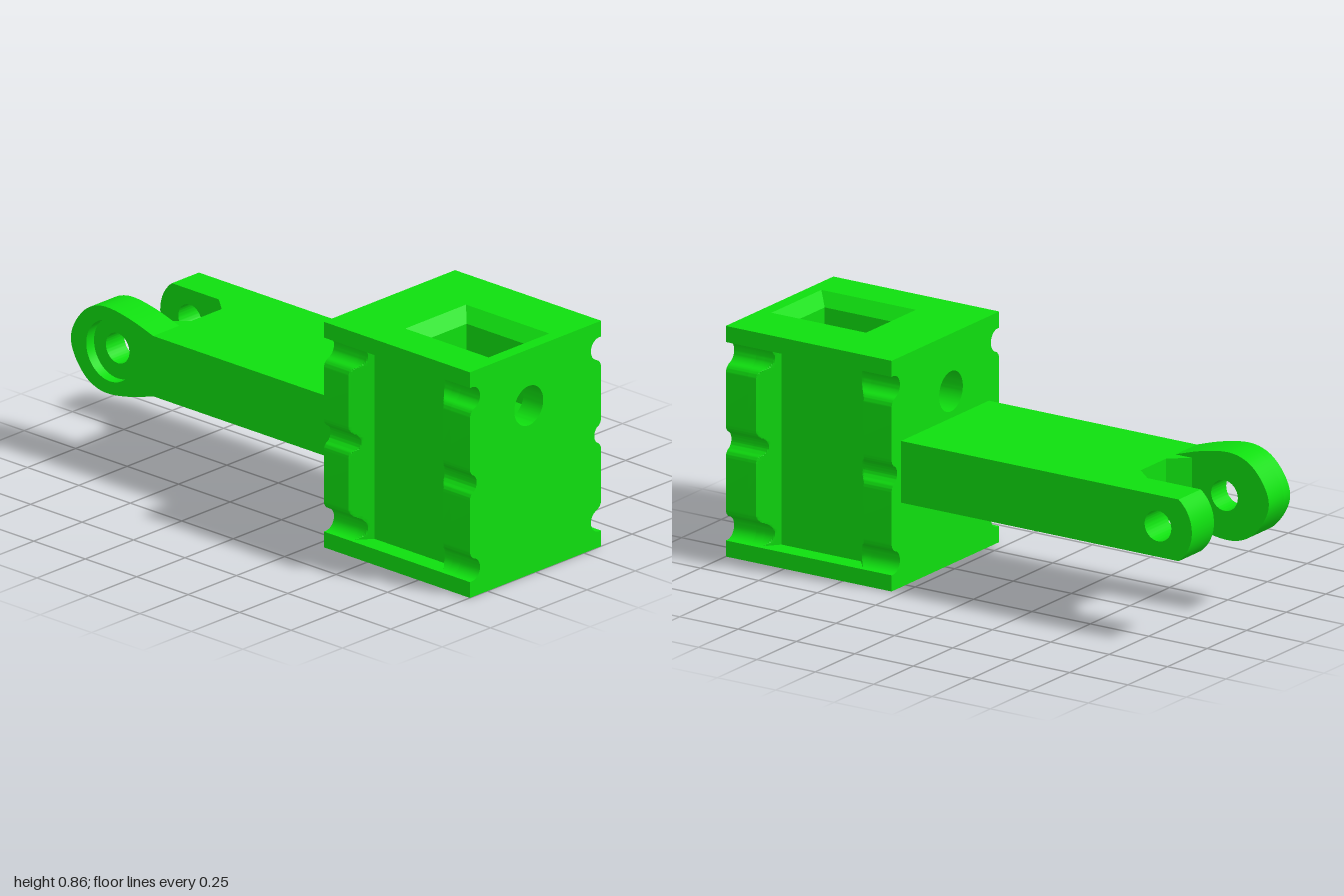
import * as THREE from 'three';
import { toCreasedNormals } from 'three/addons/utils/BufferGeometryUtils.js';

const material = new THREE.MeshStandardMaterial({ color: 0x0fdf0f, side: THREE.DoubleSide });
const MID = 0.43;                                   // mid height of the block and the arm
const BORE = { z: 0.035, y: 0.645, r: 0.075 };      // bolt bore through the block
const PIN = { x: -0.81, y: MID, r: 0.057 };         // pin hole through the fork
const PLATE = 0.815;                                // underside of the top plate

const v2 = ([x, y]) => new THREE.Vector2(x, y);
const shapeOf = (pts) => new THREE.Shape(pts.map(v2));

function add(group, name, geometry) {
  const mesh = new THREE.Mesh(toCreasedNormals(geometry, 0.5), material);
  mesh.name = name;
  group.add(mesh);
}

function extrude(shape, depth) {
  return new THREE.ExtrudeGeometry(shape, { depth, bevelEnabled: false, curveSegments: 32 });
}

function circleHole(shape, x, y, r) {
  shape.holes.push(new THREE.Path().absarc(x, y, r, 0, Math.PI * 2, true));
}

// Points of an arc, angles in degrees
function arc(cx, cy, r, from, to, n = 10) {
  return Array.from({ length: n + 1 }, (_, i) => {
    const a = THREE.MathUtils.degToRad(from + (to - from) * i / n);
    return [cx + r * Math.cos(a), cy + r * Math.sin(a)];
  });
}

// Grid surface from rows of 3D points
function loft(rows) {
  const n = rows[0].length, index = [];
  for (let i = 0; i < rows.length - 1; i++) {
    for (let j = 0; j < n - 1; j++) {
      const a = i * n + j, b = a + n;
      index.push(a, b, a + 1, b, b + 1, a + 1);
    }
  }
  const g = new THREE.BufferGeometry();
  g.setAttribute('position', new THREE.Float32BufferAttribute(rows.flat(2), 3));
  g.setIndex(index);
  g.computeVertexNormals();
  return g;
}

// Grooved side profile (z, y): lower half, mirrored to the upper half
const lowerRib = [
  [0.34, 0.06],
  ...arc(0.33, 0.103, 0.043, 270, 110, 16),
  ...arc(0.303, 0.178, 0.037, -70, 0),
  ...arc(0.303, 0.368, 0.037, 0, 56.5),
  ...arc(0.343, MID, 0.0385, 236.5, 180),
];
const rib = [...lowerRib, ...lowerRib.slice(0, -1).reverse().map(([z, y]) => [z, 2 * MID - y])];
const PANEL = 0.268;
const panel = [[0.34, 0.06], [PANEL, 0.06], [PANEL, 0.8], [0.34, 0.8]];

// Slice of the block across x, with the round bore or the nut trap open to the top
function blockSlice(side, x0, x1, trap) {
  const half = [[0.34, 0], ...side, [0.34, PLATE]];
  const flats = 0.11, edge = flats / Math.sqrt(3);
  const notch = trap ? [
    [flats, PLATE], [flats, BORE.y - edge], [0, BORE.y - 2 * edge],
    [-flats, BORE.y - edge], [-flats, PLATE],
  ].map(([a, y]) => [a - BORE.z, y]) : [];
  const mirrored = half.slice().reverse().map(([z, y]) => [-z, y]);
  const shape = shapeOf([...half, ...notch, ...mirrored]);
  if (!trap) circleHole(shape, -BORE.z, BORE.y, BORE.r);
  return extrude(shape, x1 - x0).rotateY(Math.PI / 2).translate(x0, 0, 0);
}

// Sloped inner end of a rib, running down to the recessed panel
function ribSlope(x0, x1, sign) {
  const rows = [];
  for (let i = 0; i <= 12; i++) {
    const t = i / 12, limit = 0.34 + (PANEL - 0.34) * t;
    rows.push(rib.map(([z, y]) => [x0 + (x1 - x0) * t, y, sign * Math.min(z, limit)]));
  }
  // keep the front of the surface outward on all four corners
  if ((x1 > x0) !== (sign > 0)) rows.reverse();
  return loft(rows);
}

function buildBlock() {
  const block = new THREE.Group();
  block.name = 'block';
  add(block, 'innerRibs', blockSlice(rib, 0.29, 0.41, false));
  add(block, 'innerCore', blockSlice(panel, 0.41, 0.595, false));
  add(block, 'nutTrapCore', blockSlice(panel, 0.595, 0.87, true));
  add(block, 'nutTrapRibs', blockSlice(rib, 0.87, 0.905, true));
  add(block, 'outerRibs', blockSlice(rib, 0.905, 1, false));
  for (const s of [1, -1]) {
    add(block, 'innerRibSlope', ribSlope(0.41, 0.47, s));
    add(block, 'outerRibSlope', ribSlope(0.87, 0.81, s));
  }

  // Top plate with a tapered mouth above the nut trap
  const corners = (x0, x1, z0, z1) => [[x0, z0], [x1, z0], [x1, z1], [x0, z1]];
  const mouth = corners(0.545, 0.95, -0.125, 0.19);
  const throat = corners(0.595, 0.905, BORE.z - 0.11, BORE.z + 0.11);
  const plate = shapeOf(corners(0.29, 1, -0.34, 0.34).map(([x, z]) => [x, -z]));
  plate.holes.push(new THREE.Path(mouth.map(([x, z]) => v2([x, -z]))));
  add(block, 'topPlate', extrude(plate, 2 * MID - PLATE).rotateX(-Math.PI / 2).translate(0, PLATE, 0));
  const ring = (pts, y) => [...pts, pts[0]].map(([x, z]) => [x, y, z]);
  add(block, 'trapMouth', loft([ring(mouth, 2 * MID), ring(throat, PLATE)]).toNonIndexed());
  return block;
}

function buildArm() {
  const arm = new THREE.Group();
  arm.name = 'arm';

  // Bar with the chamfered root of the fork slot, drawn in plan (x, z)
  const plan = [
    [0.29, 0.275], [0.29, -0.28], [-0.67, -0.28], [-0.67, -0.14], [-0.6, -0.08],
    [-0.6, 0.08], [-0.67, 0.14], [-0.6, 0.14], [-0.6, 0.275],
  ];
  add(arm, 'bar', extrude(shapeOf(plan.map(([x, z]) => [x, -z])), 0.23)
    .rotateX(-Math.PI / 2).translate(0, 0.315, 0));

  // Back fork lug: end rounded about the pin, cut at the bar height
  const swing = THREE.MathUtils.radToDeg(Math.asin(0.115 / 0.145));
  const back = shapeOf([
    [-0.67, 0.315], [-0.67, 0.545],
    ...arc(PIN.x, PIN.y, 0.145, 180 - swing, 180 + swing, 20),
  ]);
  circleHole(back, PIN.x, PIN.y, PIN.r);
  add(arm, 'backLug', extrude(back, 0.14).translate(0, 0, -0.28));

  // Front fork lug: swollen eye with a counterbore in its outer face
  const top = [[-0.6, 0.545], [-0.7, 0.575], [-0.8, 0.593], [-0.87, 0.588], [-0.93, 0.557], [-0.98, 0.495], [-1, MID]];
  const bottom = top.slice(0, -1).reverse().map(([x, y]) => [x, 2 * MID - y]);
  const outline = new THREE.SplineCurve([...top, ...bottom].map(v2)).getPoints(60);
  const layers = [['frontLug', 0.14, 0.235, PIN.r], ['counterbore', 0.235, 0.275, 0.115]];
  for (const [name, z0, z1, r] of layers) {
    const shape = new THREE.Shape(outline);
    circleHole(shape, PIN.x, PIN.y, r);
    add(arm, name, extrude(shape, z1 - z0).translate(0, 0, z0));
  }
  return arm;
}

export function createModel() {
  const model = new THREE.Group();
  model.name = 'clevisArmBlock';
  model.add(buildBlock(), buildArm());
  return model;
}
